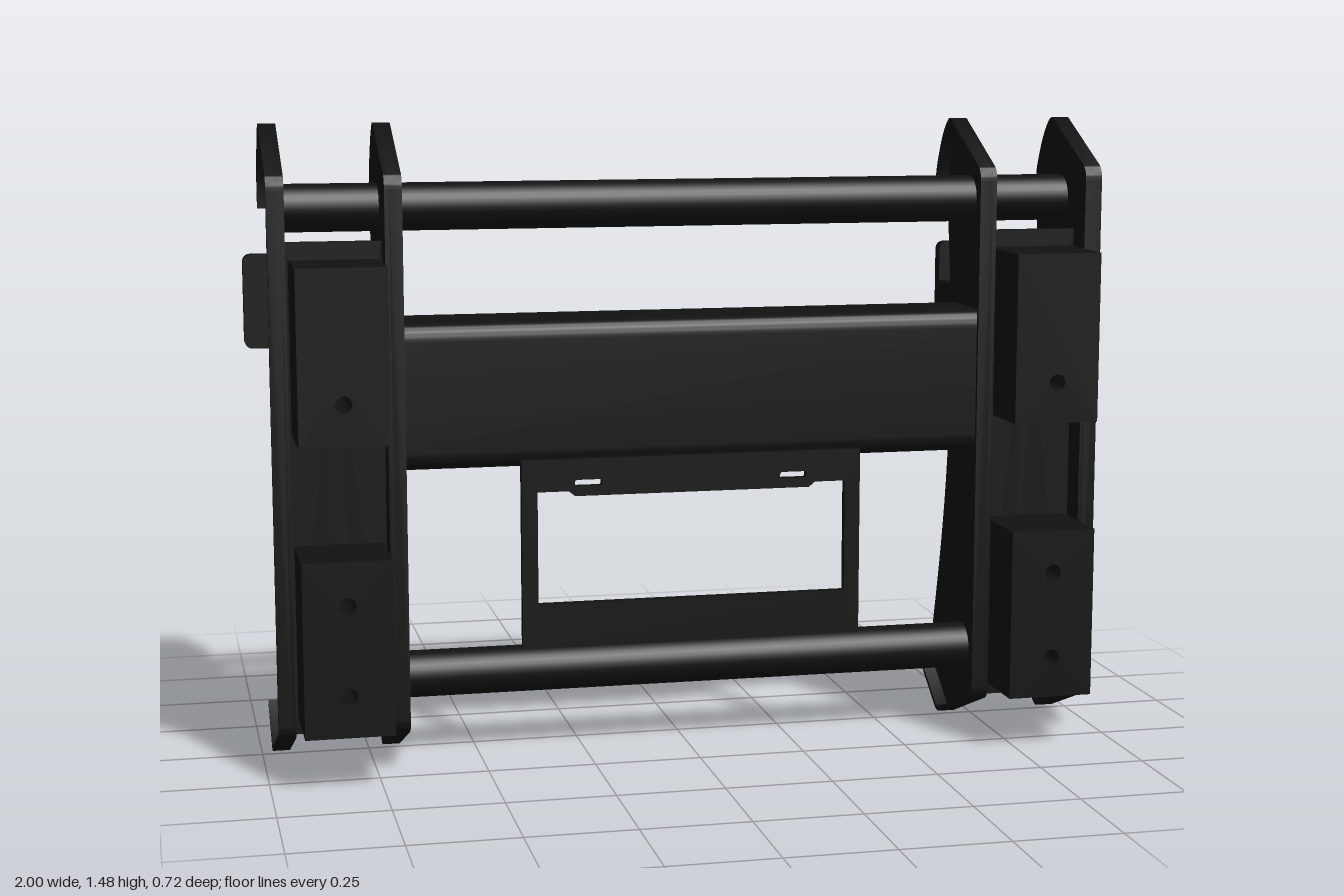
import * as THREE from 'three';
import { toCreasedNormals } from 'three/addons/utils/BufferGeometryUtils.js';

const paint = new THREE.MeshStandardMaterial({ color: 0x111111, side: THREE.DoubleSide });

function add(parent, name, geometry, x = 0, y = 0, z = 0) {
  const mesh = new THREE.Mesh(geometry, paint);
  mesh.name = name;
  mesh.position.set(x, y, z);
  parent.add(mesh);
}

// Box given by its limits
function box(parent, name, [x0, x1], [y0, y1], [z0, z1]) {
  add(parent, name, new THREE.BoxGeometry(x1 - x0, y1 - y0, z1 - z0),
    (x0 + x1) / 2, (y0 + y1) / 2, (z0 + z1) / 2);
}

// Rectangle with optional rounded corners
function rect(x0, x1, y0, y1, r = 0) {
  const s = new THREE.Shape();
  s.moveTo(x0 + r, y0);
  s.lineTo(x1 - r, y0);
  s.quadraticCurveTo(x1, y0, x1, y0 + r);
  s.lineTo(x1, y1 - r);
  s.quadraticCurveTo(x1, y1, x1 - r, y1);
  s.lineTo(x0 + r, y1);
  s.quadraticCurveTo(x0, y1, x0, y1 - r);
  s.lineTo(x0, y0 + r);
  s.quadraticCurveTo(x0, y0, x0 + r, y0);
  return s;
}

function extrude(shape, depth) {
  const g = new THREE.ExtrudeGeometry(shape, { depth, bevelEnabled: false, curveSegments: 12 });
  return toCreasedNormals(g, 0.5);
}

// Extrude a (z, y) profile between two x values
function extrudeX(shape, x0, x1) {
  return extrude(shape, x1 - x0).rotateY(-Math.PI / 2).translate(x1, 0, 0);
}

// Slab facing z, drilled with round holes at the given heights
function drilled(parent, name, xs, ys, zs, holes) {
  const s = rect(xs[0], xs[1], ys[0], ys[1]);
  for (const y of holes) {
    const h = new THREE.Path();
    h.absarc(0.825, y, 0.019, 0, Math.PI * 2, true);
    s.holes.push(h);
  }
  add(parent, name, extrude(s, zs[1] - zs[0]), 0, 0, zs[0]);
}

// Flanged edge of a side plate: back of the head, over the top, front, bottom
function traceRim(p) {
  p.moveTo(-0.105, 1.28);
  p.lineTo(-0.105, 1.345);
  p.quadraticCurveTo(-0.068, 1.445, -0.02, 1.475);
  p.quadraticCurveTo(-0.008, 1.482, 0.005, 1.475);
  p.lineTo(0.205, 1.375);
  p.quadraticCurveTo(0.225, 1.365, 0.225, 1.34);
  p.lineTo(0.225, 0.125);
  p.quadraticCurveTo(0.225, 0.1, 0.2, 0.092);
  p.lineTo(-0.02, 0.004);
  p.quadraticCurveTo(-0.035, 0, -0.05, 0.008);
  p.lineTo(-0.16, 0.085);
  return p;
}

// Full plate outline with the curved waist at the back
function sheetShape() {
  const s = traceRim(new THREE.Shape());
  s.quadraticCurveTo(-0.186, 0.108, -0.177, 0.155);
  s.bezierCurveTo(-0.1, 0.43, -0.062, 0.62, -0.062, 0.85);
  s.bezierCurveTo(-0.062, 1.03, -0.085, 1.16, -0.105, 1.28);
  return s;
}

// Thin strip following the rim, thickened inwards
function rimShape(thickness) {
  const pts = traceRim(new THREE.Path()).getPoints(8);
  const inner = pts.map((p, i) => {
    const a = pts[Math.max(i - 1, 0)], b = pts[Math.min(i + 1, pts.length - 1)];
    const d = b.clone().sub(a).normalize();
    return new THREE.Vector2(p.x + d.y * thickness, p.y - d.x * thickness);
  });
  return new THREE.Shape([...pts, ...inner.reverse()]);
}

// Everything on the +x end of the frame
function buildSide() {
  const side = new THREE.Group();

  // Sheet plates, each with a flange turned away from the column
  add(side, 'outerPlate', extrudeX(sheetShape(), 0.935, 0.945));
  add(side, 'outerFlange', extrudeX(rimShape(0.01), 0.945, 0.975));
  add(side, 'innerPlate', extrudeX(sheetShape(), 0.705, 0.715));
  add(side, 'innerFlange', extrudeX(rimShape(0.01), 0.675, 0.705));

  // Web joining the plates, and the mounting blocks on it
  drilled(side, 'columnWeb', [0.715, 0.935], [0.09, 1.22], [0.135, 0.155], [0.225, 0.43, 0.88]);
  drilled(side, 'lowerBlock', [0.723, 0.925], [0.13, 0.53], [0.155, 0.357], [0.225, 0.43]);
  drilled(side, 'upperBlock', [0.723, 0.925], [0.785, 1.18], [0.155, 0.357], [0.88]);

  // Shelf bracket behind the web, notched in the middle
  box(side, 'bracketBar', [0.715, 0.935], [0.925, 0.945], [-0.06, -0.005]);
  box(side, 'bracketBack', [0.715, 0.935], [0.925, 1.055], [-0.06, -0.04]);
  for (const xs of [[0.715, 0.78], [0.865, 0.935]]) {
    box(side, 'bracketArm', xs, [0.925, 0.945], [-0.005, 0.135]);
  }

  // Rear hook: arm with an upright end plate
  box(side, 'hookArm', [0.76, 0.89], [0.925, 1.055], [-0.33, -0.05]);
  add(side, 'hookPlate', extrude(rect(0.76, 1, 0.925, 1.153, 0.022), 0.033), 0, 0, -0.358);
  return side;
}

export function createModel() {
  const model = new THREE.Group();
  model.name = 'mountingFrame';

  const left = buildSide();
  left.name = 'leftSide';
  const right = buildSide();
  right.name = 'rightSide';
  right.scale.x = -1;
  model.add(left, right);

  // Cross rods: the upper reaches the outer plates, the lower stops at the inner ones
  for (const [name, y, length] of [['upperRod', 1.29, 1.87], ['lowerRod', 0.193, 1.42]]) {
    const rod = new THREE.CylinderGeometry(0.055, 0.055, length, 32).rotateZ(Math.PI / 2);
    add(model, name, rod, 0, y, 0.057);
  }

  // Cross beam: folded channel open to the back
  const c = new THREE.Shape();
  c.moveTo(-0.03, 0.69);
  c.lineTo(0.114, 0.69);
  c.quadraticCurveTo(0.156, 0.69, 0.156, 0.732);
  c.lineTo(0.156, 0.988);
  c.quadraticCurveTo(0.156, 1.03, 0.114, 1.03);
  c.lineTo(-0.03, 1.03);
  c.lineTo(-0.03, 1.008);
  c.lineTo(0.109, 1.008);
  c.quadraticCurveTo(0.134, 1.008, 0.134, 0.983);
  c.lineTo(0.134, 0.737);
  c.quadraticCurveTo(0.134, 0.712, 0.109, 0.712);
  c.lineTo(-0.03, 0.712);
  c.closePath();
  add(model, 'crossBeam', extrudeX(c, -0.705, 0.705));

  // Flat hanging frame with a slotted tab along its top bar
  const f = rect(-0.405, 0.405, 0.265, 0.71);
  f.holes.push(new THREE.Path([[-0.368, 0.37], [-0.368, 0.635], [-0.295, 0.635], [-0.28, 0.623],
    [0.28, 0.623], [0.295, 0.635], [0.368, 0.635], [0.368, 0.37]]
    .map(([x, y]) => new THREE.Vector2(x, y))));
  for (const x of [-0.248, 0.242]) {
    f.holes.push(rect(x - 0.032, x + 0.032, 0.646, 0.661, 0.006));
  }
  add(model, 'hangingFrame', extrude(f, 0.02), 0, 0, 0.152);

  return model;
}
